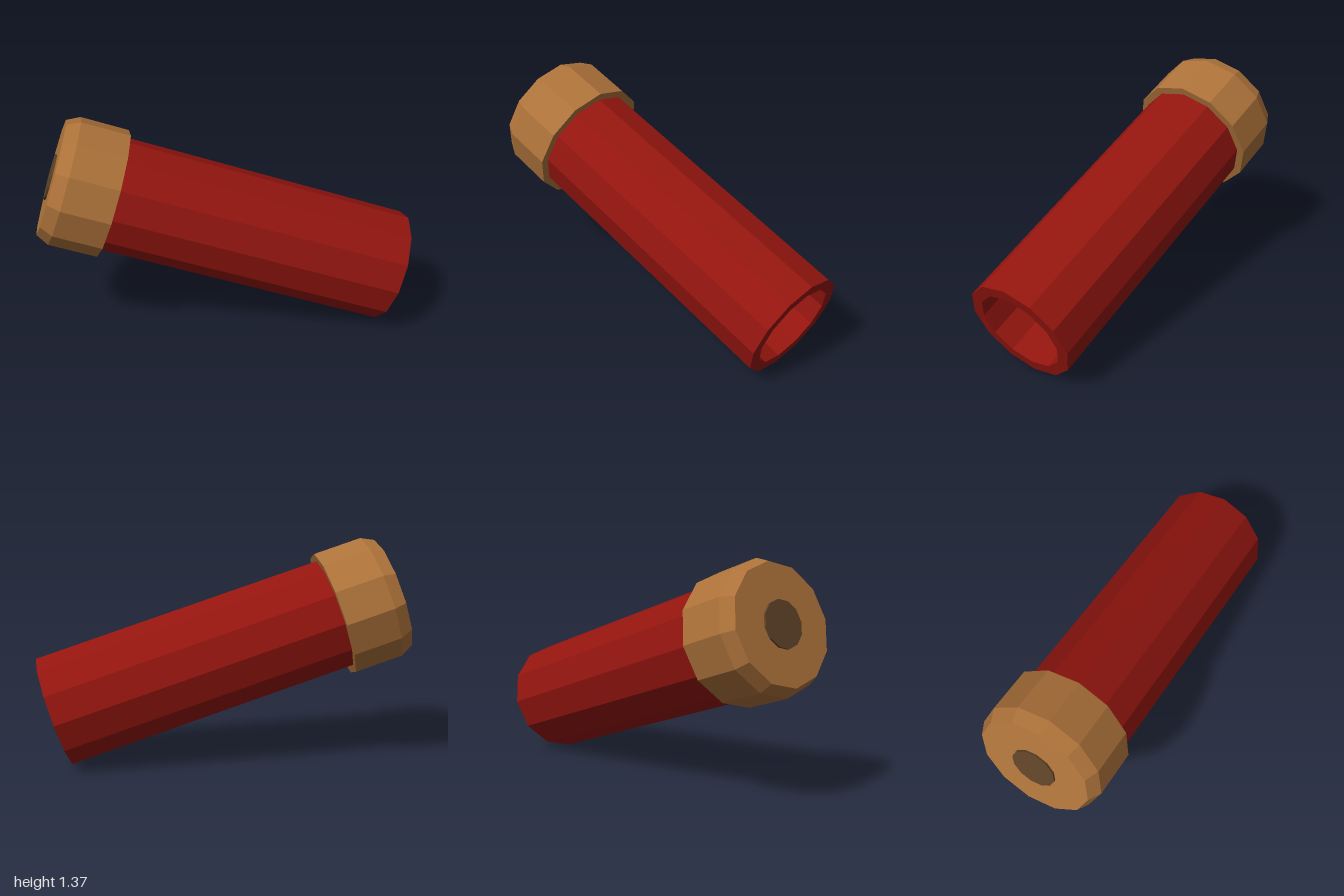
import * as THREE from 'three';

const SIDES = 12;

// Faceted solid of revolution about z from [radius, z] points
function turned(name, color, points) {
  const geometry = new THREE.LatheGeometry(points.map(([r, z]) => new THREE.Vector2(r, z)), SIDES);
  geometry.rotateX(Math.PI / 2);
  const mesh = new THREE.Mesh(geometry, new THREE.MeshStandardMaterial({ color, flatShading: true }));
  mesh.name = name;
  return mesh;
}

export function createModel() {
  const model = new THREE.Group();
  model.name = 'cartridge';

  // Built along z with the centre of the base face at the origin
  const shell = new THREE.Group();
  shell.name = 'shell';
  shell.add(
    // Solid base cap with a bevelled front edge
    turned('baseCap', 0xad723a, [[0, -0.38], [0.395, -0.38], [0.395, -0.08], [0.355, 0], [0, 0]]),
    // Hollow tube, open at the far end
    turned('tube', 0x94150f, [[0.275, -0.37], [0.275, -2.187], [0.348, -2.187], [0.348, -0.37]]),
    // Slightly raised disc in the base
    turned('primer', 0x5d4226, [[0.14, -0.01], [0.14, 0.012], [0, 0.012]])
  );

  // Tilted with the base raised and turned to the front right
  shell.rotation.set(-0.32, -0.773, 0, 'YXZ');
  shell.position.set(-0.725, 1.04, 0.74);
  model.add(shell);
  return model;
}
